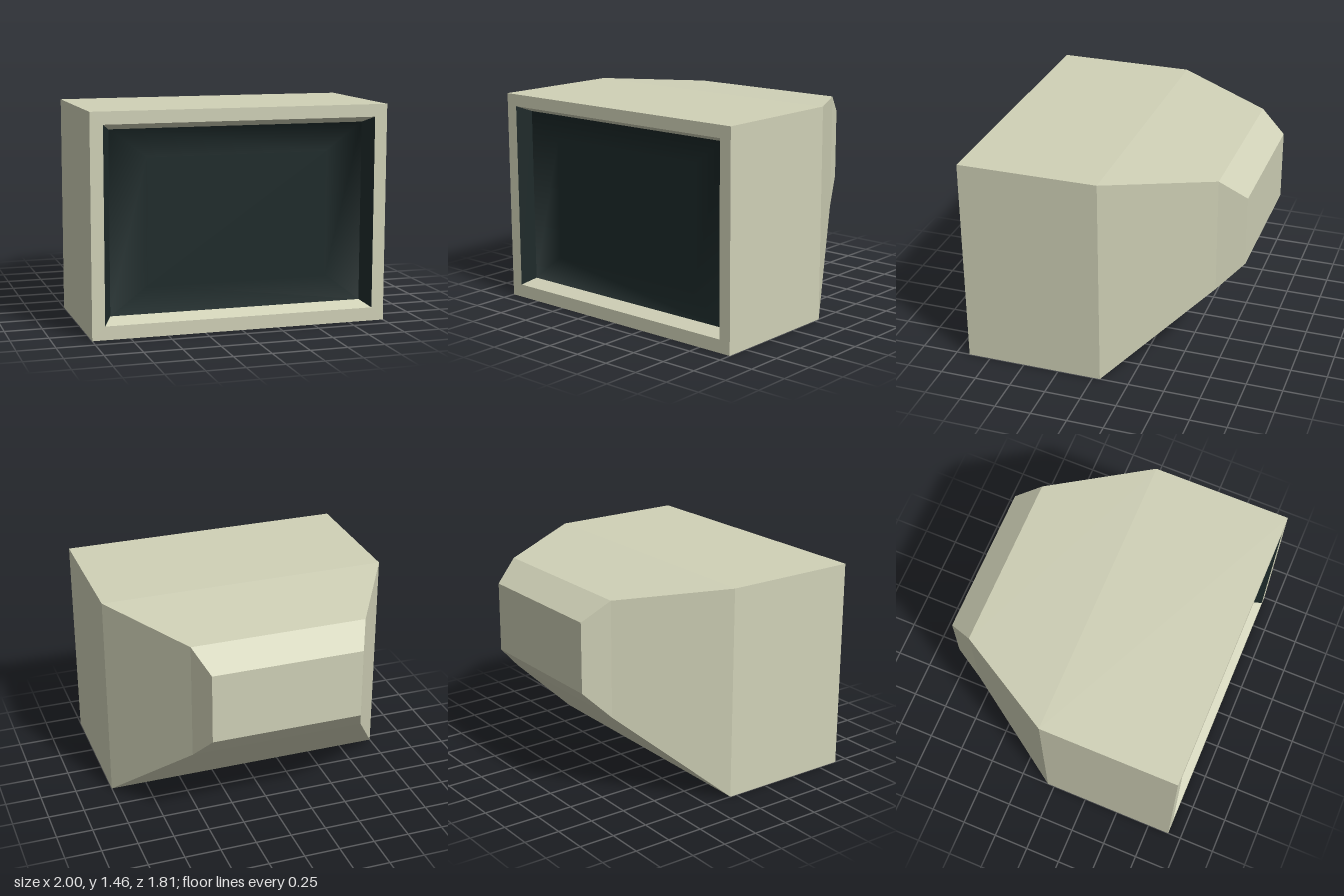
import * as THREE from 'three';

const mat = (name, color) => Object.assign(new THREE.MeshStandardMaterial({ color }), { name });

// Rectangular cross-section: half width, bottom, top, depth position
const ring = (w, y0, y1, z) => [[-w, y0, z], [w, y0, z], [w, y1, z], [-w, y1, z]];

// Mesh from four-cornered faces, flat-faced or with shared corners
function quadMesh(name, quads, material, shared = false) {
  const corners = [...new Set(quads.flat())];
  const index = quads.flatMap(([a, b, c, d]) => [a, b, c, a, c, d]).map((p) => corners.indexOf(p));
  let g = new THREE.BufferGeometry();
  g.setAttribute('position', new THREE.Float32BufferAttribute(corners.flat(), 3));
  g.setIndex(index);
  if (!shared) g = g.toNonIndexed();
  g.computeVertexNormals();
  const mesh = new THREE.Mesh(g, material);
  mesh.name = name;
  return mesh;
}

// Faces joining two rings, on the chosen sides (0 bottom, 1 right, 2 top, 3 left)
function band(a, b, sides = [0, 1, 2, 3]) {
  return sides.map((i) => {
    const j = (i + 1) % 4;
    return [a[i], b[i], b[j], a[j]];
  });
}

export function createModel() {
  const beige = mat('beige casing', 0xd0d1b7);
  const dark = mat('dark glass', 0x1c2929);
  const model = new THREE.Group();
  model.name = 'monitor';

  const inset = ring(0.61, 0.32, 1.15, 0.81);
  const recess = ring(0.86, 0.13, 1.337, 0.81);
  const opening = ring(0.915, 0.09, 1.377, 0.905);
  const front = ring(1, 0, 1.46, 0.905);
  const middle = ring(1, 0, 1.46, -0.05);
  const shoulder = ring(0.6, 0.605, 1.403, -0.73);
  const back = ring(0.517, 0.785, 1.268, -0.905);

  // Casing tapering to the back, closed by a back panel
  model.add(quadMesh('casing', [...band(front, middle), ...band(middle, shoulder), ...band(shoulder, back)], beige));
  model.add(quadMesh('backPanel', [[back[0], back[3], back[2], back[1]]], beige));

  // Front frame and the walls of its recess
  model.add(quadMesh('frontFrame', band(opening, front), beige));
  model.add(quadMesh('recessTopAndBottom', band(recess, opening, [0, 2]), beige));
  model.add(quadMesh('recessSides', band(recess, opening, [1, 3]), dark));

  // Flat screen whose rim normals lean inward, blending softly into the walls
  const screen = quadMesh('screen', [inset, ...band(inset, recess)], dark, true);
  const { position, normal } = screen.geometry.attributes;
  for (let i = 4; i < 8; i++) {
    const n = new THREE.Vector3(-0.6 * Math.sign(position.getX(i)), position.getY(i) > 0.7 ? -0.6 : 0.6, 1).normalize();
    normal.setXYZ(i, n.x, n.y, n.z);
  }
  model.add(screen);

  return model;
}
